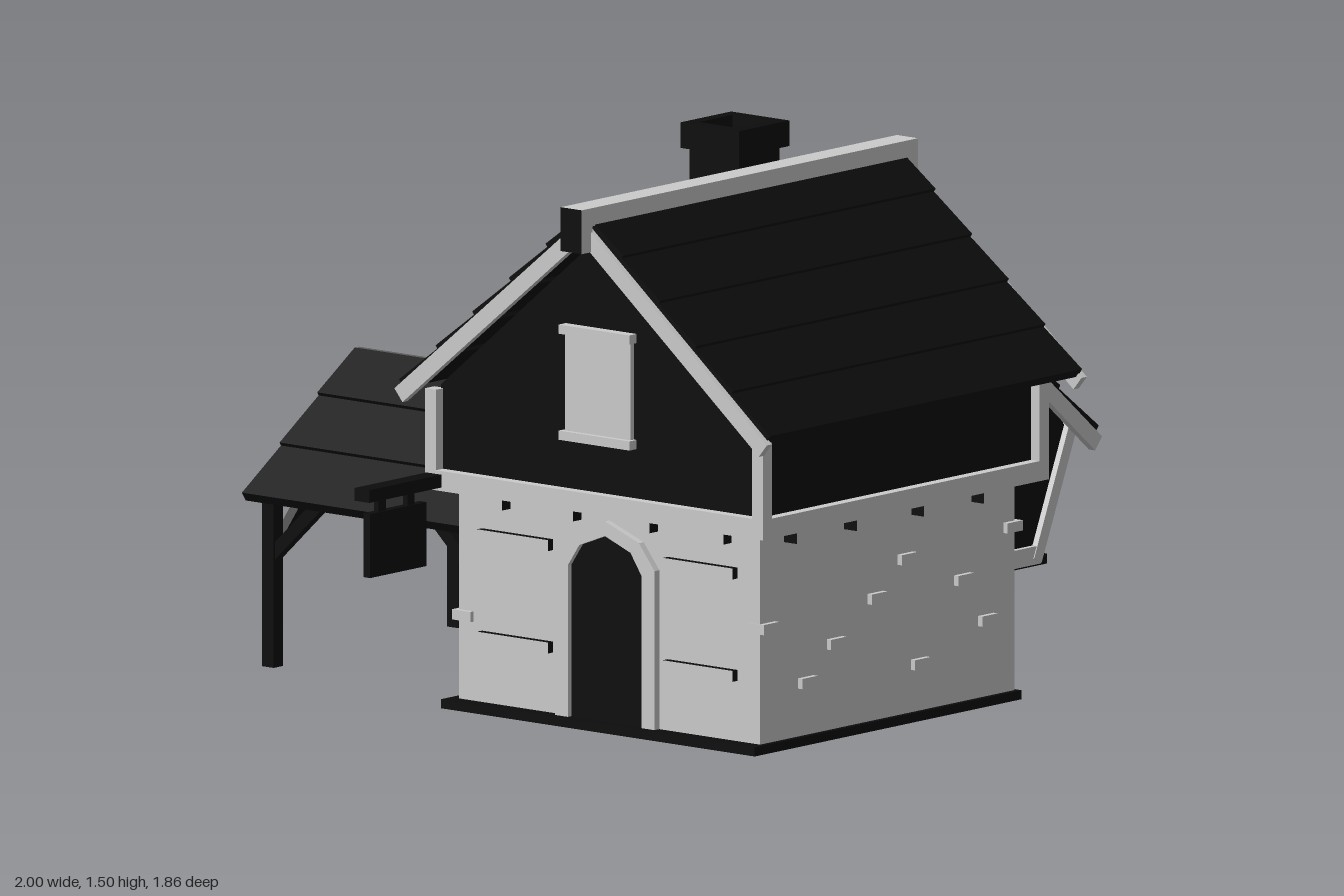
import * as THREE from 'three';

const grey = new THREE.MeshStandardMaterial({ color: 0xcccccc, flatShading: true });
const dark = new THREE.MeshStandardMaterial({ color: 0x0c0c0c, flatShading: true });
// box face order: +x, -x, +y, -y, +z, -z
const zEndsGrey = [dark, dark, dark, dark, grey, grey];
const xEndsGrey = [grey, grey, dark, dark, dark, dark];
const zEndsDark = [grey, grey, grey, grey, dark, dark];

export function createModel() {
  const model = new THREE.Group();
  model.name = 'house';

  const add = (name, geometry, material, parent = model) => {
    const mesh = new THREE.Mesh(geometry, material);
    mesh.name = name;
    parent.add(mesh);
    return mesh;
  };
  const group = (name) => {
    const g = new THREE.Group();
    g.name = name;
    model.add(g);
    return g;
  };
  // box given by its limits on each axis
  const box = (name, [x0, x1], [y0, y1], [z0, z1], material, parent) => {
    const mesh = add(name, new THREE.BoxGeometry(x1 - x0, y1 - y0, z1 - z0), material, parent);
    mesh.position.set((x0 + x1) / 2, (y0 + y1) / 2, (z0 + z1) / 2);
    return mesh;
  };
  // beam from point a to point b, w wide sideways and h deep
  const bar = (name, a, b, w, h, material, parent) => {
    const p = new THREE.Vector3(...a), q = new THREE.Vector3(...b);
    const mesh = add(name, new THREE.BoxGeometry(w, h, p.distanceTo(q)), material, parent);
    mesh.position.copy(p).add(q).multiplyScalar(0.5);
    mesh.lookAt(q);
    return mesh;
  };
  const shape = (points) => new THREE.Shape(points.map(([x, y]) => new THREE.Vector2(x, y)));
  const extrude = (s, depth) => new THREE.ExtrudeGeometry(s, { depth, bevelEnabled: false });
  // roof slope of overlapping courses, from eave point to ridge point
  const roofSlope = (name, eave, ridge, width, courses) => {
    const g = group(name);
    const at = (t, lift) => eave.map((v, i) => v + (ridge[i] - v) * t + (i === 1 ? lift : 0));
    for (let i = 0; i < courses; i++) {
      bar('roofCourse', at(i / courses, -0.008), at(Math.min(1, (i + 1.1) / courses), -0.022), width, 0.028, dark, g);
    }
  };

  // Ground floor
  box('plinth', [-0.22, 0.885], [0, 0.025], [-0.5, 0.61], dark);
  box('stoneWalls', [-0.19, 0.87], [0.02, 0.6], [-0.49, 0.57], grey);

  // Door with arched surround
  const arch = [[0.21, 0.025], [0.47, 0.025], [0.47, 0.44], [0.43, 0.5], [0.34, 0.535], [0.25, 0.5], [0.21, 0.44]];
  const surround = shape([[0.165, 0.025], [0.515, 0.025], [0.515, 0.46], [0.46, 0.53], [0.34, 0.575], [0.22, 0.53], [0.165, 0.46]]);
  surround.holes.push(shape(arch));
  add('doorSurround', extrude(surround, 0.03), grey).position.z = 0.56;
  add('door', extrude(shape(arch), 0.015), dark).position.z = 0.56;

  // Horizontal rails beside the door
  for (const [x0, x1] of [[-0.11, 0.14], [0.545, 0.79]]) {
    for (const y of [0.19, 0.47]) box('wallRail', [x0, x1], [y, y + 0.03], [0.56, 0.59], zEndsGrey);
  }

  // Projecting stones
  const stones = group('projectingStones');
  const sideStones = [[0.54, 0.34], [0.26, 0.26], [0.38, 0.17], [0.09, 0.36], [-0.035, 0.45], [-0.27, 0.36], [-0.37, 0.235], [-0.09, 0.155], [-0.475, 0.475]];
  for (const [z, y] of sideStones) {
    box('stone', [0.83, 0.885], [y - 0.014, y + 0.014], [z - 0.032, z + 0.032], grey, stones);
  }
  for (const [z, y] of [[0.55, 0.255], [0.2, 0.2], [-0.15, 0.32], [-0.4, 0.15]]) {
    box('stone', [-0.205, -0.14], [y - 0.014, y + 0.014], [z - 0.032, z + 0.032], grey, stones);
  }
  for (const [x, y] of [[0.7, 0.21], [0.45, 0.12], [0.15, 0.21], [-0.03, 0.12]]) {
    box('stone', [x - 0.032, x + 0.032], [y - 0.014, y + 0.014], [-0.505, -0.45], grey, stones);
  }

  // Floor joist ends
  const joists = group('joistEnds');
  for (const x of [-0.05, 0.2, 0.47, 0.73]) {
    box('joistEnd', [x - 0.04, x + 0.04], [0.565, 0.602], [-0.53, 0.605], zEndsGrey, joists);
  }
  for (const z of [0.43, 0.18, -0.1, -0.35]) {
    box('joistEnd', [-0.23, 0.915], [0.565, 0.602], [z - 0.04, z + 0.04], xEndsGrey, joists);
  }

  // Upper floor with gables
  const gable = shape([[-0.225, 0.62], [0.905, 0.62], [0.905, 0.885], [0.34, 1.36], [-0.225, 0.885]]);
  add('upperWalls', extrude(gable, 1.14), dark).position.z = -0.535;
  box('floorBand', [-0.255, 0.935], [0.6, 0.655], [-0.555, 0.635], grey);
  for (const x of [-0.255, 0.897]) {
    for (const z of [-0.555, 0.597]) box('cornerPost', [x, x + 0.038], [0.6, 0.875], [z, z + 0.038], grey);
  }

  // Gable window shutter
  box('shutter', [0.225, 0.455], [0.81, 1.09], [0.59, 0.62], grey);
  box('windowHead', [0.215, 0.465], [1.08, 1.105], [0.59, 0.635], grey);
  box('windowSill', [0.215, 0.465], [0.79, 0.815], [0.59, 0.635], grey);

  // Main roof, barge boards and ridge
  for (const s of [-1, 1]) {
    roofSlope('mainRoof', [0.34 + s * 0.645, 0.895, 0.025], [0.34, 1.435, 0.025], 1.3, 5);
    for (const z of [-0.63, 0.68]) {
      bar('bargeBoard', [0.34 + s * 0.642, 0.858, z], [0.34, 1.385, z], 0.022, 0.045, grey);
    }
  }
  box('ridgeBeam', [0.303, 0.377], [1.4, 1.45], [-0.67, 0.73], zEndsDark);
  box('ridgeEndFront', [0.303, 0.377], [1.33, 1.45], [0.685, 0.73], zEndsDark);
  box('ridgeEndBack', [0.303, 0.377], [1.33, 1.45], [-0.67, -0.63], zEndsDark);

  // Chimney with hollow cap
  box('chimneyStack', [-0.055, 0.118], [0.95, 1.44], [-0.4, -0.23], dark);
  const cap = shape([[-0.07, 0.21], [0.135, 0.21], [0.135, 0.42], [-0.07, 0.42]]);
  cap.holes.push(shape([[-0.035, 0.245], [0.1, 0.245], [0.1, 0.385], [-0.035, 0.385]]));
  const capMesh = add('chimneyCap', extrude(cap, 0.07), dark);
  capMesh.rotation.x = -Math.PI / 2;
  capMesh.position.y = 1.435;

  // Rear bay: side profile drawn with the back to the right
  const bay = shape([[0.45, 0.35], [0.69, 0.35], [0.835, 0.68], [0.6, 0.88], [0.45, 0.88]]);
  const bayMesh = add('bayWalls', extrude(bay, 0.86), dark);
  bayMesh.rotation.y = Math.PI / 2;
  bayMesh.position.x = -0.095;
  box('bayFloor', [-0.11, 0.78], [0.33, 0.38], [-0.705, -0.49], grey);
  for (const x of [-0.095, 0.765]) {
    bar('baySlantPost', [x, 0.34, -0.69], [x, 0.69, -0.838], 0.035, 0.035, grey);
  }
  for (const x of [-0.125, 0.795]) {
    bar('bayBargeBoard', [x, 0.632, -0.915], [x, 0.895, -0.6], 0.022, 0.045, grey);
  }
  roofSlope('bayRoof', [0.335, 0.675, -0.92], [0.335, 0.94, -0.6], 0.92, 2);
  for (const x of [0.0, 0.22, 0.45, 0.67]) {
    box('bayJoist', [x - 0.035, x + 0.035], [0.305, 0.332], [-0.82, -0.48], dark);
  }

  // Side canopy on posts
  const zc = 0.04;
  for (const s of [-1, 1]) {
    roofSlope('canopyRoof', [-0.6, 0.48, zc + s * 0.47], [-0.6, 0.825, zc], 0.8, 3);
    const z = zc + s * 0.385;
    for (const [x, dir] of [[-0.97, 1], [-0.207, -1]]) {
      box('canopyPost', [x - 0.02, x + 0.02], [0, 0.49], [z - 0.02, z + 0.02], dark);
      bar('canopyBrace', [x, 0.3, z], [x + dir * 0.18, 0.47, z], 0.03, 0.035, dark);
      bar('canopyCrossBrace', [x, 0.3, z], [x, 0.47, z - s * 0.16], 0.03, 0.035, dark);
      bar('canopyRafter', [x, 0.475, z], [x, 0.775, zc], 0.035, 0.035, dark);
      bar('trussStrut', [x, 0.48, zc], [x, 0.63, zc + s * 0.17], 0.03, 0.03, dark);
    }
    box('canopyPlate', [-0.98, -0.19], [0.455, 0.495], [z - 0.02, z + 0.02], dark);
  }
  for (const x of [-0.97, -0.207]) {
    box('tieBeam', [x - 0.02, x + 0.02], [0.455, 0.495], [zc - 0.385, zc + 0.385], dark);
    box('kingPost', [x - 0.018, x + 0.018], [0.48, 0.78], [zc - 0.018, zc + 0.018], dark);
  }
  box('canopyRidge', [-0.99, -0.2], [0.745, 0.785], [zc - 0.02, zc + 0.02], dark);

  // Hanging sign
  box('signBracket', [-0.25, -0.198], [0.61, 0.645], [0.56, 0.935], dark);
  box('signBoard', [-0.236, -0.212], [0.4, 0.575], [0.68, 0.915], dark);
  for (const z of [0.74, 0.86]) box('signHanger', [-0.232, -0.216], [0.57, 0.615], [z - 0.015, z + 0.015], dark);

  return model;
}
